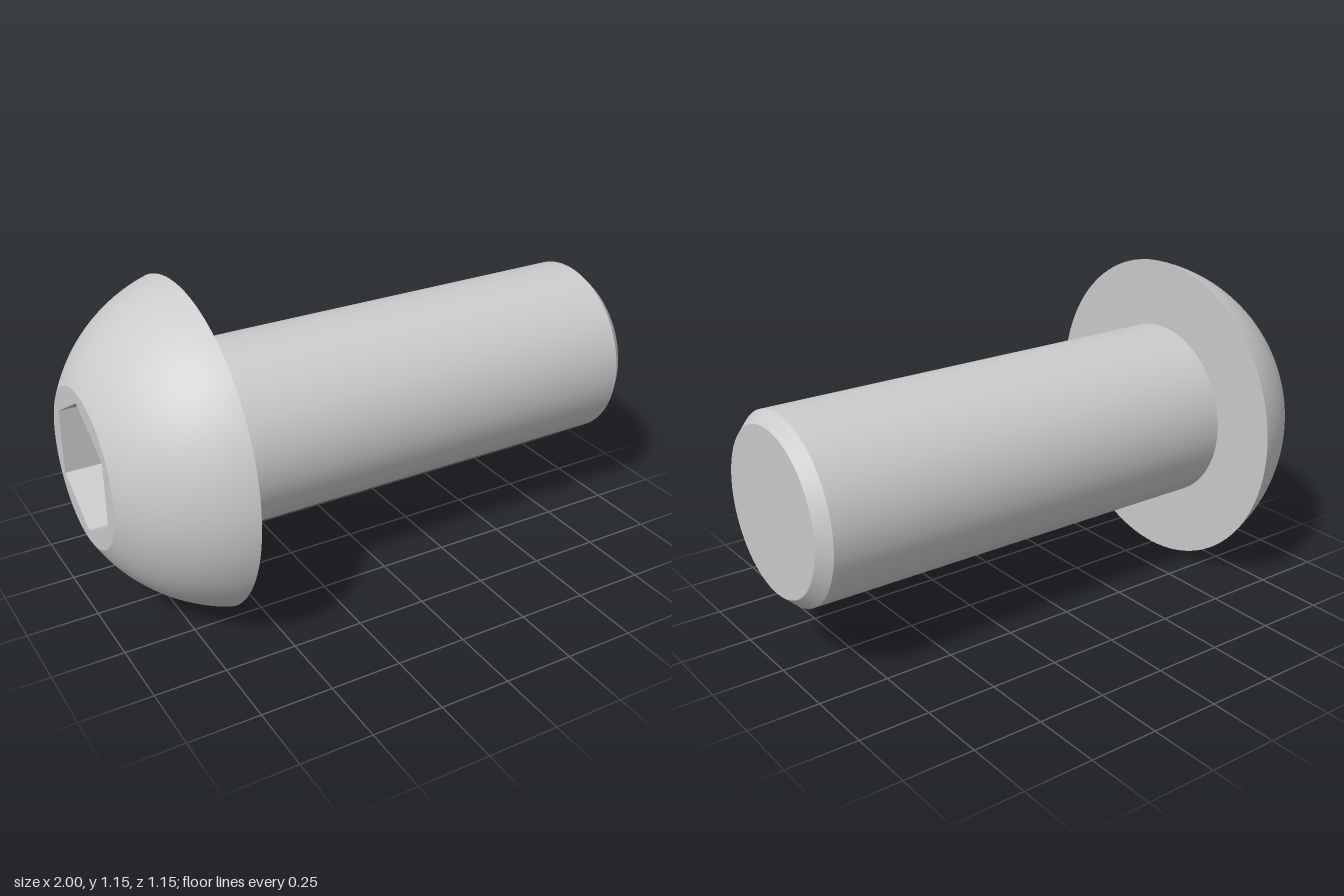
import * as THREE from 'three';

const SEGMENTS = 96;
const HEAD_R = 0.573, SHANK_R = 0.327, TIP_R = 0.287, CROWN_R = 0.275;
const CROWN_X = -1, SEAT_X = -0.64, CHAMFER_X = 0.957, TIP_X = 1;
const SOCKET_R = 0.236, SOCKET_DEPTH = 0.211;

export function createModel() {
  const bolt = new THREE.Group();
  bolt.name = 'buttonHeadBolt';
  bolt.position.y = HEAD_R;

  const smooth = new THREE.MeshStandardMaterial({ color: 0xcccccc });
  const faceted = new THREE.MeshStandardMaterial({ color: 0xcccccc, flatShading: true, side: THREE.DoubleSide });

  const add = (name, geometry, material = smooth) => {
    const mesh = new THREE.Mesh(geometry, material);
    mesh.name = name;
    bolt.add(mesh);
  };

  // Surface of revolution about the x axis from [radius, x] pairs
  const turned = (name, profile) => {
    const points = profile.map(([r, x]) => new THREE.Vector2(r, x));
    add(name, new THREE.LatheGeometry(points, SEGMENTS).rotateZ(-Math.PI / 2));
  };

  // Domed head: spherical arc from the crown to the rim, centred on the axis
  const centreX = (SEAT_X ** 2 + HEAD_R ** 2 - CROWN_X ** 2 - CROWN_R ** 2) / (2 * (SEAT_X - CROWN_X));
  const radius = Math.hypot(CROWN_X - centreX, CROWN_R);
  const start = Math.atan2(CROWN_R, centreX - CROWN_X);
  const end = Math.atan2(HEAD_R, centreX - SEAT_X);
  const dome = [];
  for (let i = 0; i <= 24; i++) {
    const a = THREE.MathUtils.lerp(start, end, i / 24);
    dome.push([radius * Math.sin(a), centreX - radius * Math.cos(a)]);
  }
  turned('headDome', dome);
  turned('headSeat', [[HEAD_R, SEAT_X], [SHANK_R, SEAT_X]]);

  // Shank with chamfered tip; separate surfaces keep the edges sharp
  turned('shank', [[SHANK_R, SEAT_X], [SHANK_R, CHAMFER_X]]);
  turned('tipChamfer', [[SHANK_R, CHAMFER_X], [TIP_R, TIP_X]]);
  turned('tipFace', [[TIP_R, TIP_X], [0, TIP_X]]);

  // Flat crown with a hexagonal opening, corners up and down
  const crown = new THREE.Shape().absarc(0, 0, CROWN_R, 0, Math.PI * 2);
  const corners = Array.from({ length: 6 }, (_, i) => {
    const a = Math.PI / 6 + i * Math.PI / 3;
    return new THREE.Vector2(SOCKET_R * Math.cos(a), SOCKET_R * Math.sin(a));
  });
  crown.holes.push(new THREE.Path(corners));
  add('crownFace', new THREE.ShapeGeometry(crown, SEGMENTS / 2)
    .rotateY(-Math.PI / 2).translate(CROWN_X, 0, 0));

  // Hexagonal socket walls and floor
  add('socketWalls', new THREE.CylinderGeometry(SOCKET_R, SOCKET_R, SOCKET_DEPTH, 6, 1, true, Math.PI / 6)
    .rotateZ(-Math.PI / 2).translate(CROWN_X + SOCKET_DEPTH / 2, 0, 0), faceted);
  add('socketFloor', new THREE.CircleGeometry(SOCKET_R, 6, Math.PI / 6)
    .rotateY(-Math.PI / 2).translate(CROWN_X + SOCKET_DEPTH, 0, 0));

  const model = new THREE.Group();
  model.add(bolt);
  return model;
}
